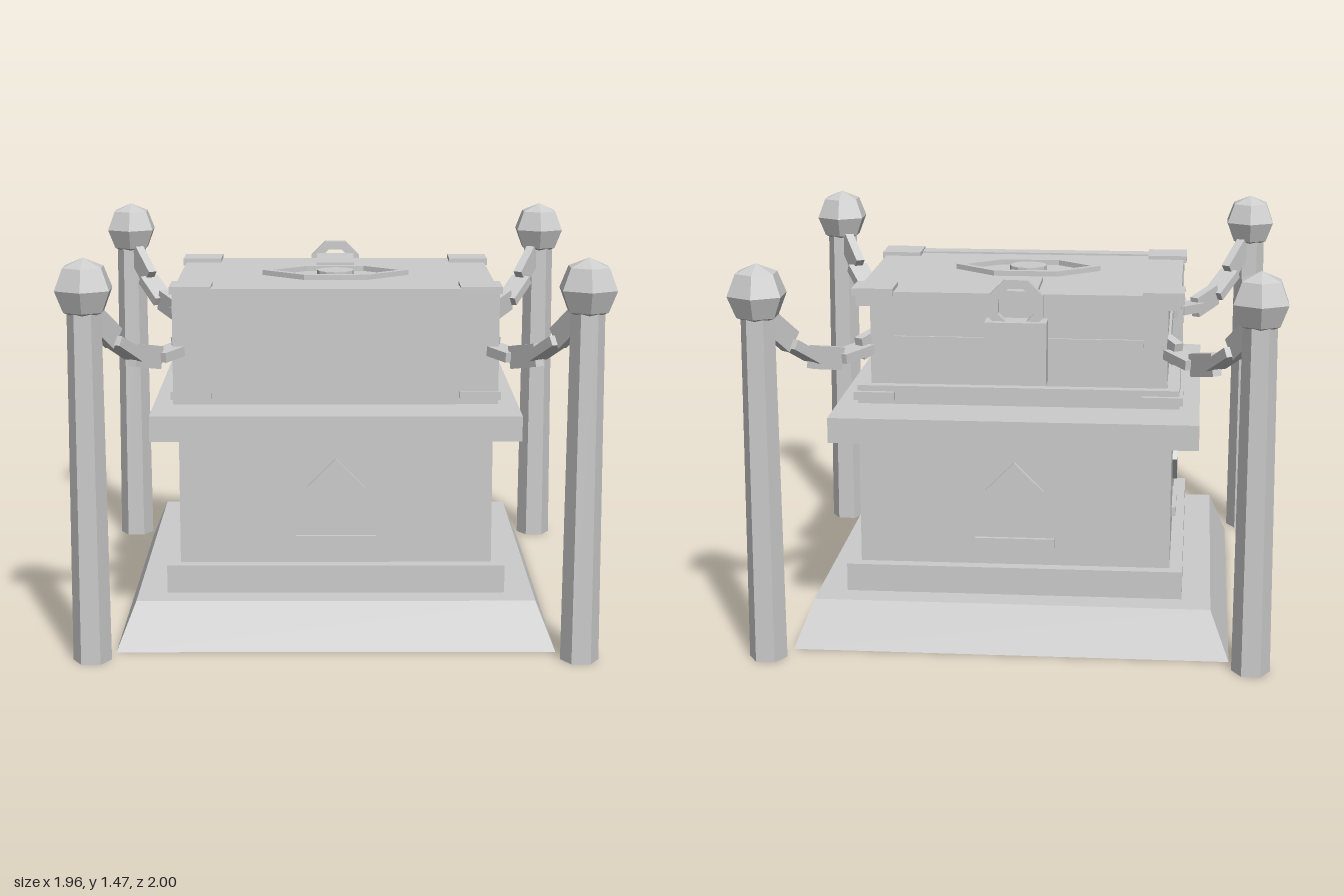
import * as THREE from 'three';

export function createModel() {
  const model = new THREE.Group();
  model.name = 'chainedBookPedestal';
  const stone = new THREE.MeshStandardMaterial({ color: 0xcccccc, flatShading: true });
  stone.name = 'pale grey';

  const add = (name, geo, x = 0, y = 0, z = 0, parent = model) => {
    const mesh = new THREE.Mesh(geo, stone);
    mesh.name = name;
    mesh.position.set(x, y, z);
    parent.add(mesh);
    return mesh;
  };
  // Box given by its min and max corners
  const block = (name, x0, x1, y0, y1, z0, z1, parent = model) =>
    add(name, new THREE.BoxGeometry(x1 - x0, y1 - y0, z1 - z0),
      (x0 + x1) / 2, (y0 + y1) / 2, (z0 + z1) / 2, parent);
  const slab = (name, half, y0, y1) => block(name, -half, half, y0, y1, -half, half);

  // Pedestal: sloped foot, step, shaft and cap
  const foot = new THREE.CylinderGeometry(0.737 * Math.SQRT2, 0.807 * Math.SQRT2, 0.175, 4);
  foot.rotateY(Math.PI / 4);
  add('pedestalFoot', foot, 0, 0.0875, 0);
  slab('pedestalStep', 0.63, 0.175, 0.28);
  slab('pedestalShaft', 0.582, 0.28, 0.765);
  slab('pedestalCap', 0.683, 0.765, 0.86);

  // Raised diamond and bar on each face of the shaft
  for (let i = 0; i < 4; i++) {
    const face = new THREE.Group();
    face.name = 'shaftOrnament';
    face.rotation.y = i * Math.PI / 2;
    model.add(face);
    const diamond = add('diamond', new THREE.BoxGeometry(0.155, 0.155, 0.03), 0, 0.57, 0.585, face);
    diamond.rotation.z = Math.PI / 4;
    block('bar', -0.15, 0.15, 0.35, 0.385, 0.57, 0.598, face);
  }

  // Book: covers, spine, pages and strips on the three page edges
  block('bottomCover', -0.607, 0.607, 0.86, 0.93, -0.45, 0.4);
  block('topCover', -0.607, 0.607, 1.235, 1.29, -0.45, 0.4);
  block('spine', -0.61, 0.61, 0.86, 1.297, 0.39, 0.465);
  block('pages', -0.56, 0.56, 0.93, 1.235, -0.41, 0.39);
  block('sidePageStrip', -0.57, 0.57, 1.045, 1.115, -0.355, 0.31);
  block('backPageStrip', -0.47, 0.47, 1.045, 1.115, -0.42, -0.38);

  // Corner guards
  for (const sx of [-1, 1]) {
    for (const [z0, z1] of [[-0.47, -0.32], [0.315, 0.47]]) {
      const x0 = Math.min(sx * 0.465, sx * 0.62), x1 = Math.max(sx * 0.465, sx * 0.62);
      block('topCorner', x0, x1, 1.278, 1.305, z0, z1);
      block('bottomCorner', x0, x1, 0.877, 0.908, z0, z1);
    }
  }

  // Eye emblem on the cover: hexagonal frame and round pupil
  const hexPoints = (tip, flat, half) => [[tip, 0], [flat, half], [-flat, half],
    [-tip, 0], [-flat, -half], [flat, -half]].map(p => new THREE.Vector2(...p));
  const frame = new THREE.Shape(hexPoints(0.285, 0.122, 0.137));
  frame.holes.push(new THREE.Path(hexPoints(0.245, 0.112, 0.112)));
  const frameGeo = new THREE.ExtrudeGeometry(frame, { depth: 0.025, bevelEnabled: false });
  frameGeo.rotateX(-Math.PI / 2);
  add('eyeFrame', frameGeo, 0, 1.285, 0.045);
  add('eyePupil', new THREE.CylinderGeometry(0.073, 0.073, 0.025, 12), 0, 1.298, 0.045);

  // Strap and padlock at the back
  block('strap', -0.075, 0.075, 1.28, 1.307, -0.485, -0.185);
  block('lockBody', -0.115, 0.115, 0.965, 1.2, -0.547, -0.452);
  const octagon = r => Array.from({ length: 8 }, (_, i) => {
    const a = (i + 0.5) * Math.PI / 4;
    return new THREE.Vector2(r * Math.cos(a), r * Math.sin(a));
  });
  const ring = new THREE.Shape(octagon(0.108));
  ring.holes.push(new THREE.Path(octagon(0.072)));
  add('lockShackle', new THREE.ExtrudeGeometry(ring, { depth: 0.036, bevelEnabled: false }), 0, 1.255, -0.518);

  // Corner posts with faceted knobs, each chained to the book
  const postGeo = new THREE.CylinderGeometry(0.061, 0.07, 1.3, 6);
  postGeo.rotateY(Math.PI / 6);
  const knobGeo = new THREE.SphereGeometry(0.111, 6, 4);
  knobGeo.rotateY(Math.PI / 6);
  const linkGeo = new THREE.BoxGeometry(0.085, 0.037, 0.155);
  const linkPath = [[0.8, 1.21], [0.705, 1.118], [0.595, 1.068], [0.475, 1.06], [0.375, 1.085]];

  for (const sx of [-1, 1]) {
    for (const sz of [-1, 1]) {
      add('post', postGeo, sx * 0.885, 0.65, sz * 0.887);
      add('postKnob', knobGeo, sx * 0.885, 1.36, sz * 0.887);

      const points = linkPath.map(([z, y]) =>
        new THREE.Vector3(sx * (0.88 - (0.88 - z) * 0.64), y, sz * z));
      const chain = new THREE.Group();
      chain.name = 'chain';
      model.add(chain);
      points.forEach((p, i) => {
        const before = points[Math.max(i - 1, 0)];
        const after = points[Math.min(i + 1, points.length - 1)];
        const link = add('chainLink', linkGeo, p.x, p.y, p.z, chain);
        link.lookAt(p.clone().add(after).sub(before));
        // Alternate links stand on edge
        if (i % 2 === 0) link.rotateZ(Math.PI / 2);
      });
    }
  }
  return model;
}
